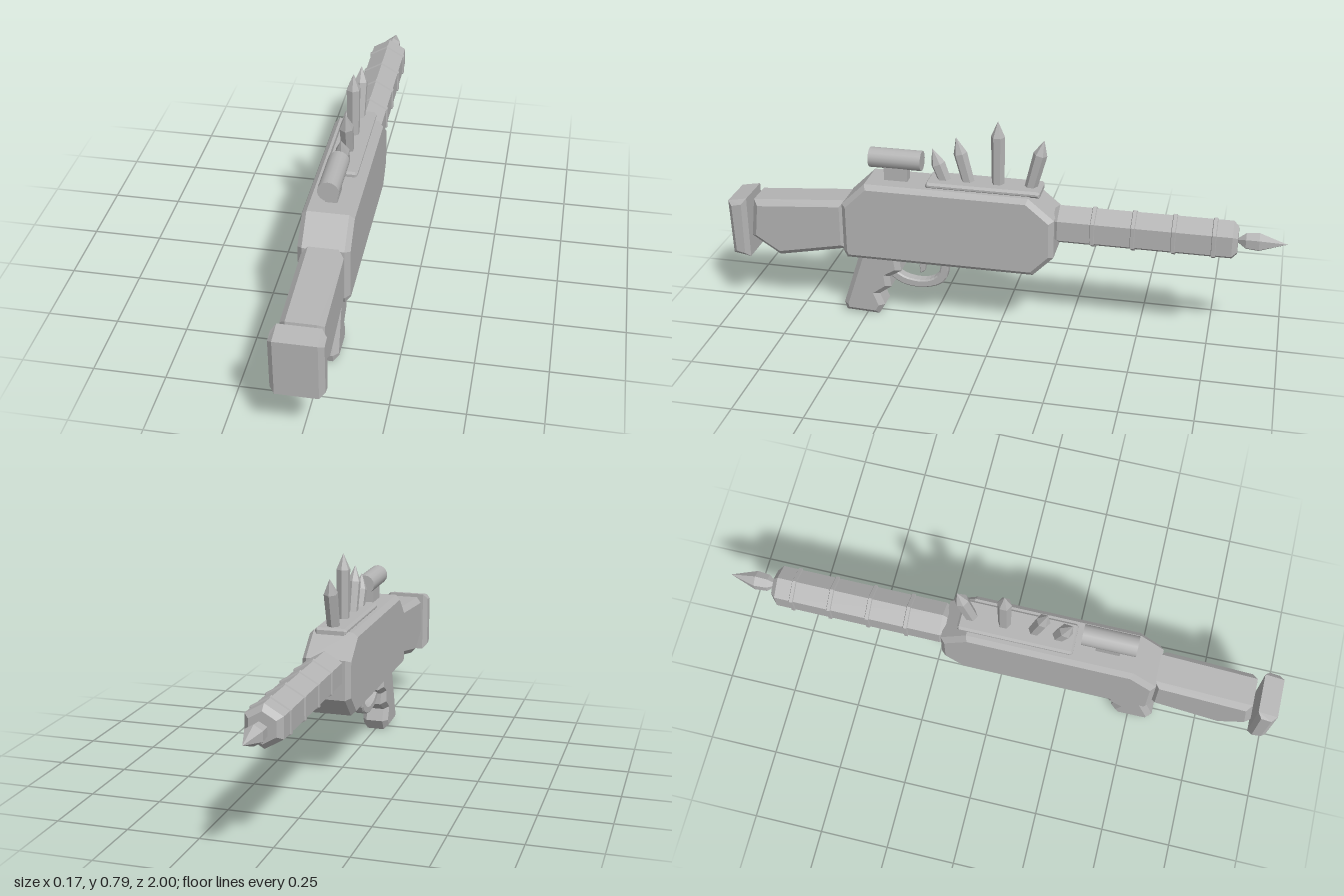
import * as THREE from 'three';

const gray = new THREE.MeshStandardMaterial({ color: 0xb4b4b4 });
gray.name = 'plain gray';

function part(name, geometry) {
  const mesh = new THREE.Mesh(geometry, gray);
  mesh.name = name;
  return mesh;
}

// Side profile of [z, y] points, extruded across x with a chamfered rim
function slab(name, points, halfWidth, bevel) {
  const shape = new THREE.Shape(points.map(([z, y]) => new THREE.Vector2(z, y)));
  const depth = 2 * (halfWidth - bevel);
  const geometry = new THREE.ExtrudeGeometry(shape, {
    depth, bevelEnabled: bevel > 0, bevelThickness: bevel, bevelSize: bevel,
    bevelOffset: -bevel, bevelSegments: 1,
  });
  geometry.translate(0, 0, -depth / 2).rotateY(-Math.PI / 2);
  return part(name, geometry);
}

// Six-sided turned form from [radius, height] points, with flat facets
function hexTurn(points) {
  const profile = points.map(([r, h]) => new THREE.Vector2(r, h));
  const geometry = new THREE.LatheGeometry(profile, 6).toNonIndexed();
  geometry.computeVertexNormals();
  return geometry;
}

export function createModel() {
  const model = new THREE.Group();
  model.name = 'crystalRifle';

  // Receiver, stock and butt
  model.add(slab('receiver', [
    [0.567, 0.27], [0.555, 0.245], [-0.13, 0.245], [-0.203, 0.32],
    [-0.203, 0.463], [-0.11, 0.54], [0.48, 0.54], [0.567, 0.455],
  ], 0.087, 0.017));
  model.add(slab('stock', [
    [0.56, 0.27], [0.56, 0.46], [0.908, 0.432], [0.925, 0.285], [0.82, 0.217],
  ], 0.07, 0.02));
  model.add(slab('buttPlate', [
    [0.93, 0.206], [0.93, 0.44], [1.0, 0.427], [0.994, 0.217],
  ], 0.087, 0.017));

  // Grip with finger notches
  model.add(slab('grip', [
    [0.515, 0.26], [0.588, 0.035], [0.58, 0.005], [0.455, 0], [0.432, 0.04],
    [0.45, 0.085], [0.405, 0.118], [0.41, 0.16], [0.365, 0.187], [0.375, 0.26],
  ], 0.05, 0.018));

  // Trigger guard: a curved band between an outer and an inner curve
  const curve = (pts) => new THREE.SplineCurve(pts.map(([z, y]) => new THREE.Vector2(z, y)))
    .getPoints(14).map((p) => [p.x, p.y]);
  const outer = curve([[0.41, 0.155], [0.36, 0.125], [0.28, 0.12], [0.205, 0.155], [0.187, 0.25]]);
  const inner = curve([[0.217, 0.25], [0.23, 0.18], [0.28, 0.15], [0.35, 0.155], [0.4, 0.185]]);
  model.add(slab('triggerGuard', [...outer, ...inner], 0.02, 0.005));
  model.add(slab('trigger', [
    [0.262, 0.25], [0.278, 0.21], [0.282, 0.185], [0.298, 0.175],
    [0.302, 0.205], [0.296, 0.23], [0.3, 0.25],
  ].reverse(), 0.013, 0.003));

  // Six-sided barrel with bands
  const axisY = 0.4225;
  const barrel = new THREE.Group();
  barrel.name = 'barrelGroup';
  barrel.position.y = axisY;
  barrel.rotation.x = -Math.PI / 2;
  barrel.add(part('barrel', hexTurn([
    [0, 0.19], [0.06, 0.195], [0.0725, 0.212], [0.0725, 0.815], [0.052, 0.833], [0, 0.833],
  ])));
  for (const h of [0.335, 0.475, 0.615, 0.753]) {
    barrel.add(part('barrelBand', hexTurn([
      [0.07, h - 0.009], [0.078, h - 0.006], [0.078, h + 0.006], [0.07, h + 0.009],
    ])));
  }
  barrel.add(part('muzzleCrystal', hexTurn([
    [0, 0.825], [0.01, 0.835], [0.03, 0.86], [0.034, 0.905], [0, 1.0],
  ])));
  model.add(barrel);

  // Top rail with a chamfered rim
  model.add(slab('crystalRail', [
    [0.262, 0.535], [0.262, 0.55], [0.256, 0.558],
    [-0.14, 0.558], [-0.147, 0.55], [-0.147, 0.535],
  ].reverse(), 0.057, 0.008));

  // Crystals: [base z, tip z, tip y, radius, point length]
  const crystals = [
    [0.2, 0.247, 0.67, 0.026, 0.06],
    [0.115, 0.16, 0.718, 0.025, 0.06],
    [0.01, 0.01, 0.79, 0.025, 0.057],
    [-0.105, -0.153, 0.733, 0.025, 0.055],
  ];
  for (const [z0, z1, y1, r, point] of crystals) {
    const baseY = 0.545;
    const length = Math.hypot(z1 - z0, y1 - baseY);
    const crystal = part('crystal', hexTurn([
      [0, 0], [r * 0.9, 0], [r, length - point], [0, length],
    ]));
    crystal.position.set(0, baseY, z0);
    crystal.rotation.x = Math.atan2(z1 - z0, y1 - baseY);
    model.add(crystal);
  }

  // Scope and its mount
  const scope = part('scope', new THREE.CylinderGeometry(0.036, 0.036, 0.19, 16));
  scope.rotation.x = Math.PI / 2;
  scope.position.set(0, 0.617, 0.379);
  model.add(scope);
  const mount = part('scopeMount', new THREE.BoxGeometry(0.04, 0.07, 0.085));
  mount.position.set(0, 0.565, 0.378);
  model.add(mount);

  return model;
}
